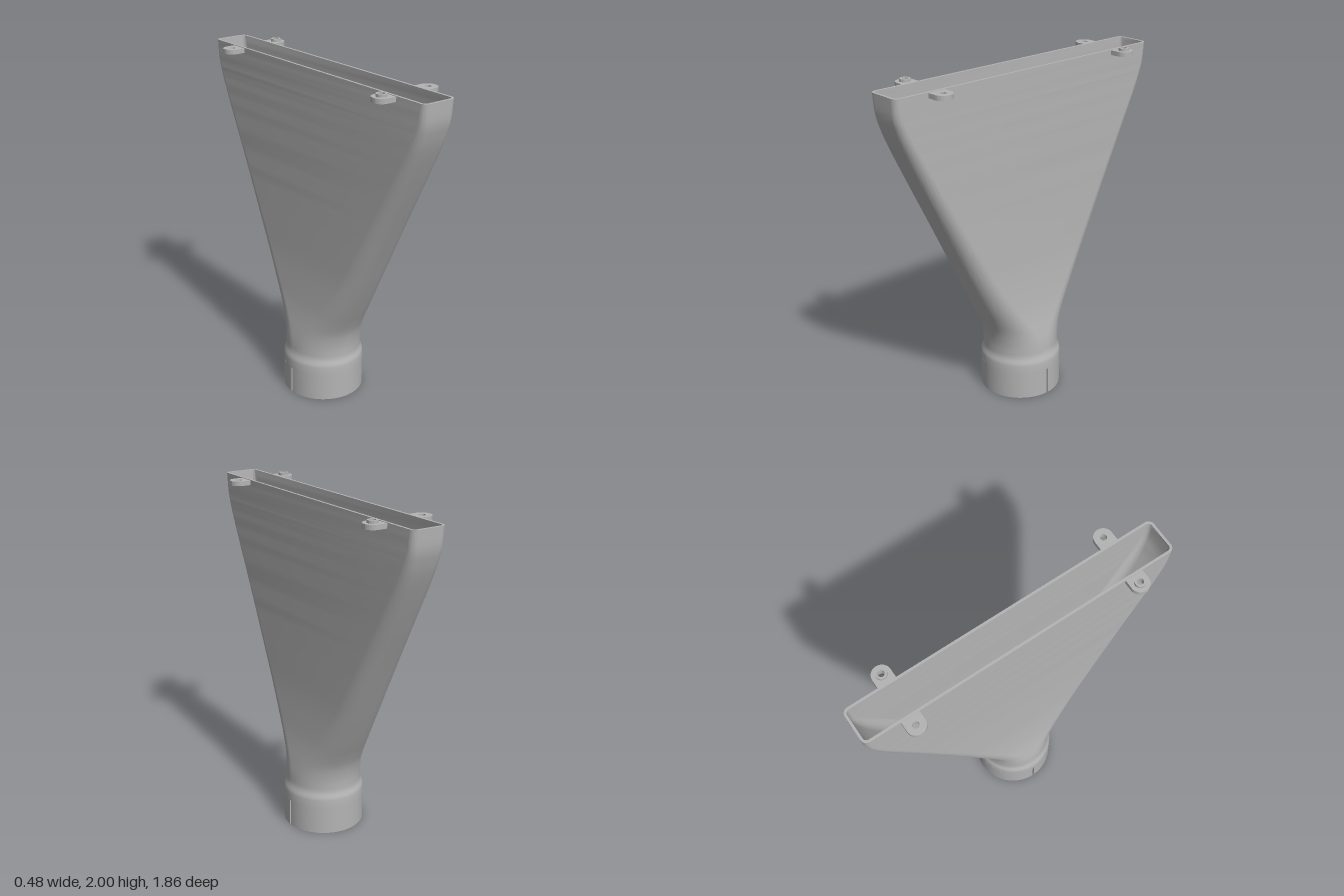
import * as THREE from 'three';
import { toCreasedNormals } from 'three/addons/utils/BufferGeometryUtils.js';

const WALL = 0.014, TOP = 1.988, SLOT_TOP = 0.165;
const SOCKET_R = 0.24, SOCKET_IN = 0.226;
const CORNER_STEPS = 16;

// Rounded rectangle ring at height y: half sizes a (x), b (z), corner radius r
function ring(y, a, b, r) {
  const pts = [];
  const signs = [[1, 1], [-1, 1], [-1, -1], [1, -1]];
  signs.forEach(([sx, sz], q) => {
    for (let i = 0; i <= CORNER_STEPS; i++) {
      const t = (q + i / CORNER_STEPS) * Math.PI / 2;
      pts.push([sx * (a - r) + r * Math.cos(t), y, sz * (b - r) + r * Math.sin(t)]);
    }
  });
  return pts;
}

// Skin through a closed loop of rings
function loft(rings) {
  const n = rings[0].length, m = rings.length, index = [];
  for (let i = 0; i < m; i++) {
    for (let j = 0; j < n; j++) {
      const k = (i + 1) % m, l = (j + 1) % n;
      const a = i * n + j, b = k * n + j, c = k * n + l, d = i * n + l;
      index.push(a, b, d, b, c, d);
    }
  }
  const geo = new THREE.BufferGeometry();
  geo.setAttribute('position', new THREE.Float32BufferAttribute(rings.flat(2), 3));
  geo.setIndex(index);
  return toCreasedNormals(geo, 0.6);
}

// Extrude a plan shape upwards from height y
function slab(shape, y, height) {
  const geo = new THREE.ExtrudeGeometry(shape, { depth: height, bevelEnabled: false, curveSegments: 32 });
  geo.rotateX(-Math.PI / 2).translate(0, y, 0);
  return toCreasedNormals(geo, 0.6);
}

function addHole(shape, x, y, r) {
  shape.holes.push(new THREE.Path().absarc(x, y, r, 0, Math.PI * 2, true));
  return shape;
}

export function createModel() {
  const group = new THREE.Group();
  const grey = new THREE.MeshStandardMaterial({ color: 0xb4b4b4 });
  grey.name = 'grey plastic';
  const add = (name, geo) => {
    const mesh = new THREE.Mesh(geo, grey);
    mesh.name = name;
    group.add(mesh);
    return mesh;
  };

  // Funnel sections: height, half width x, half width z, corner radius
  const sections = [
    [0.27, 0.222, 0.225, 0.222], [0.34, 0.214, 0.227, 0.208], [0.42, 0.198, 0.243, 0.185],
    [0.5, 0.181, 0.277, 0.162], [0.6, 0.165, 0.328, 0.142], [0.8, 0.144, 0.428, 0.115],
    [1.0, 0.134, 0.525, 0.1], [1.2, 0.126, 0.623, 0.09], [1.4, 0.119, 0.722, 0.08],
    [1.6, 0.114, 0.818, 0.068], [1.72, 0.111, 0.872, 0.058], [1.8, 0.109, 0.902, 0.05],
    [1.88, 0.107, 0.923, 0.042], [TOP, 0.106, 0.93, 0.035],
  ];
  const sizes = new THREE.CatmullRomCurve3(
    sections.map(([y, a, b]) => new THREE.Vector3(a, y, b)), false, 'catmullrom');
  const radii = new THREE.CatmullRomCurve3(
    sections.map(([y, , , r]) => new THREE.Vector3(r, y, 0)), false, 'catmullrom');
  const outer = [], inner = [];
  const steps = (sections.length - 1) * 4;
  for (let i = 0; i <= steps; i++) {
    const p = sizes.getPoint(i / steps);
    const r = Math.min(radii.getPoint(i / steps).x, p.x, p.z);
    outer.push(ring(p.y, p.x, p.z, r));
    inner.unshift(ring(p.y, p.x - WALL, p.z - WALL, r - WALL));
  }
  const circle = (y, r) => ring(y, r, r, r);

  // Funnel with its inside, shoulder and the unslotted top of the socket
  add('funnel', loft([
    circle(SLOT_TOP, SOCKET_R), circle(0.215, SOCKET_R), circle(0.227, 0.238), circle(0.238, 0.234),
    circle(0.252, 0.228), ...outer, ...inner,
    circle(0.2, 0.208), circle(0.2, SOCKET_IN), circle(SLOT_TOP, SOCKET_IN),
  ]));

  // Lower socket: two half rings with a narrow slot on each side
  const gap = 0.006 / SOCKET_R;
  const half = new THREE.Shape();
  half.absarc(0, 0, SOCKET_R, gap, Math.PI - gap, false);
  half.absarc(0, 0, SOCKET_IN, Math.PI - gap, gap, true);
  half.closePath();
  const halfGeo = slab(half, 0, SLOT_TOP);
  add('socketBack', halfGeo);
  add('socketFront', halfGeo).rotation.y = Math.PI;

  // Mounting tabs, with raised bosses on one diagonal pair
  const tab = new THREE.Shape();
  tab.moveTo(0.096, -0.053);
  tab.lineTo(0.157, -0.053);
  tab.absarc(0.157, 0, 0.053, -Math.PI / 2, Math.PI / 2, false);
  tab.lineTo(0.096, 0.053);
  tab.closePath();
  const tabGeo = slab(addHole(tab, 0.157, 0, 0.018), 1.958, 0.027);
  const boss = new THREE.Shape().absarc(0.157, 0, 0.03, 0, Math.PI * 2, false);
  const bossGeo = slab(addHole(boss, 0.157, 0, 0.018), 1.984, 0.016);
  for (const sx of [1, -1]) {
    for (const sz of [1, -1]) {
      const place = (mesh) => {
        mesh.position.z = sz * 0.67;
        mesh.rotation.y = sx > 0 ? 0 : Math.PI;
      };
      const name = (sz > 0 ? 'front' : 'back') + (sx > 0 ? 'Left' : 'Right');
      place(add(name + 'Tab', tabGeo));
      if (sx !== sz) place(add(name + 'Boss', bossGeo));
    }
  }
  return group;
}
